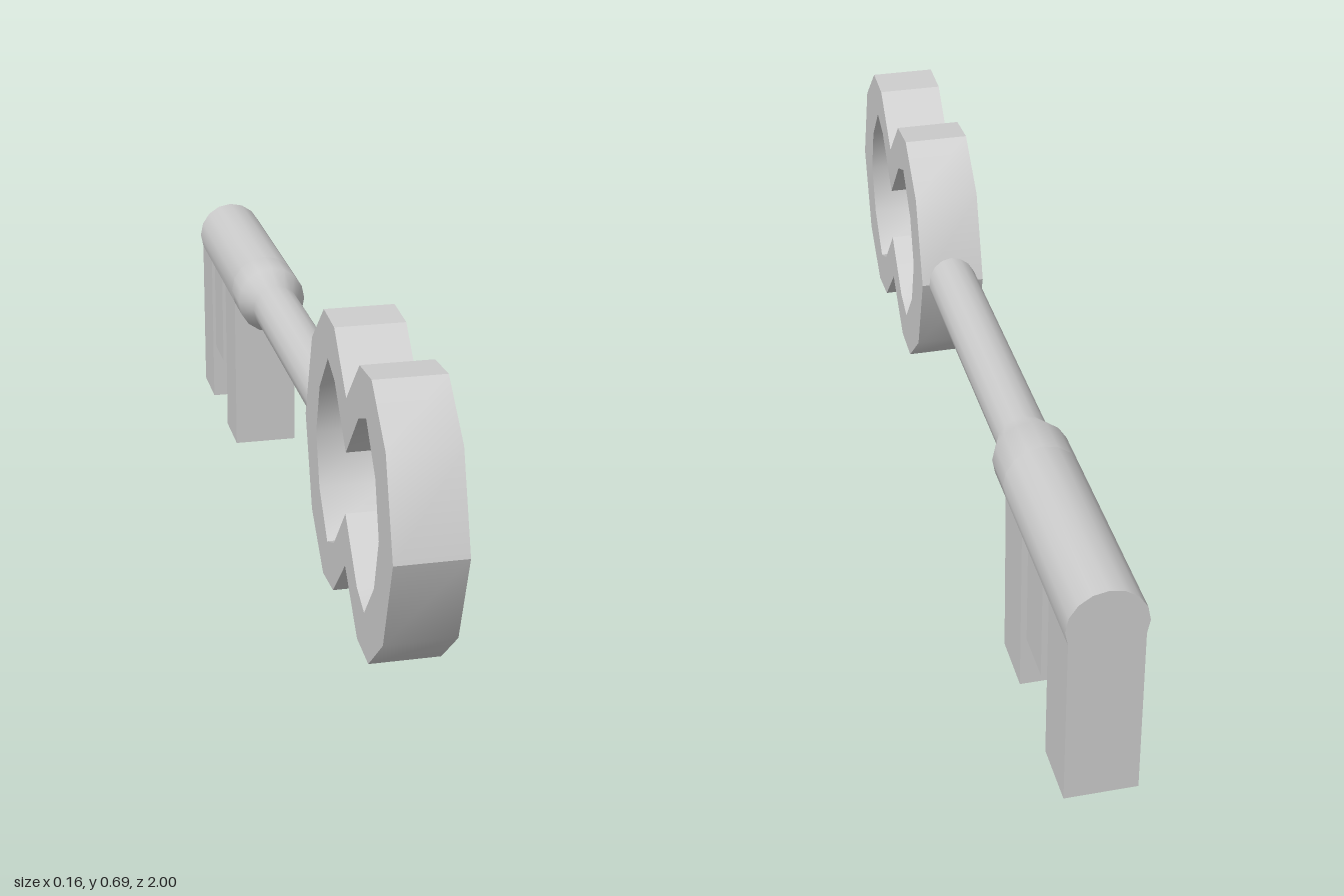
import * as THREE from 'three';
import { toCreasedNormals } from 'three/addons/utils/BufferGeometryUtils.js';

const AXIS_Y = 0.404; // height of the shaft's centre line
const R = 0.08; // radius of the thick end of the shaft
const SIDES = 16;
const BIT_START = -0.535;

export function createModel() {
  const model = new THREE.Group();
  model.name = 'key';
  const grey = new THREE.MeshStandardMaterial({ color: 0xcccccc });
  const add = (name, geometry) => {
    const mesh = new THREE.Mesh(geometry, grey);
    mesh.name = name;
    model.add(mesh);
    return mesh;
  };

  // Closed outline from the upper half of a ring, mirrored below the axis
  const mirrored = (half) => [
    ...half,
    ...half.slice(1, -1).reverse().map(([z, h]) => [z, -h]),
  ].map(([z, h]) => new THREE.Vector2(z, h));

  // Bow: faceted double-lobed ring, drawn as (z, height) and extruded across x
  const outer = mirrored([
    [1, 0], [0.938, 0.19], [0.831, 0.286], [0.74, 0.28], [0.637, 0.175],
    [0.534, 0.28], [0.443, 0.286], [0.336, 0.19], [0.274, 0],
  ]);
  const inner = mirrored([
    [0.898, 0], [0.867, 0.11], [0.794, 0.197], [0.735, 0.173], [0.637, 0.064],
    [0.539, 0.173], [0.48, 0.197], [0.407, 0.11], [0.376, 0],
  ]);
  const bowShape = new THREE.Shape(outer);
  bowShape.holes.push(new THREE.Path(inner));
  const bow = new THREE.ExtrudeGeometry(bowShape, { depth: 0.142, bevelEnabled: false });
  bow.translate(0, 0, -0.071).rotateY(-Math.PI / 2);
  add('bow', toCreasedNormals(bow, 0.58)).position.y = AXIS_Y;

  // Shaft: slim rod that flares into the thick end
  const profile = [[0.055, 0.3], [0.055, -0.385], [R, -0.445], [R, BIT_START]]
    .map(([r, z]) => new THREE.Vector2(r, -z));
  const shaft = new THREE.LatheGeometry(profile, SIDES).rotateX(-Math.PI / 2);
  add('shaft', shaft).position.y = AXIS_Y;

  // Spine above the teeth: round on top, cut flat underneath
  const arc = [];
  for (let i = -1; i <= SIDES / 2 + 1; i++) {
    const a = (i / SIDES) * Math.PI * 2;
    arc.push(new THREE.Vector2(R * Math.cos(a), R * Math.sin(a)));
  }
  const spine = new THREE.ExtrudeGeometry(new THREE.Shape(arc), {
    depth: 1 + BIT_START, bevelEnabled: false,
  });
  add('bitSpine', toCreasedNormals(spine, 0.6)).position.set(0, AXIS_Y, -1);

  // Teeth: [front z, back z, bottom y], hanging from the flat of the spine
  const top = AXIS_Y + arc[0].y;
  const width = arc[0].x * 2;
  const teeth = [[BIT_START, -0.665, 0], [-0.712, -0.822, 0.155], [-0.866, -1, 0]];
  teeth.forEach(([front, back, bottom], i) => {
    const tooth = add(`tooth${i + 1}`, new THREE.BoxGeometry(width, top - bottom, front - back));
    tooth.position.set(0, (top + bottom) / 2, (front + back) / 2);
  });

  return model;
}
